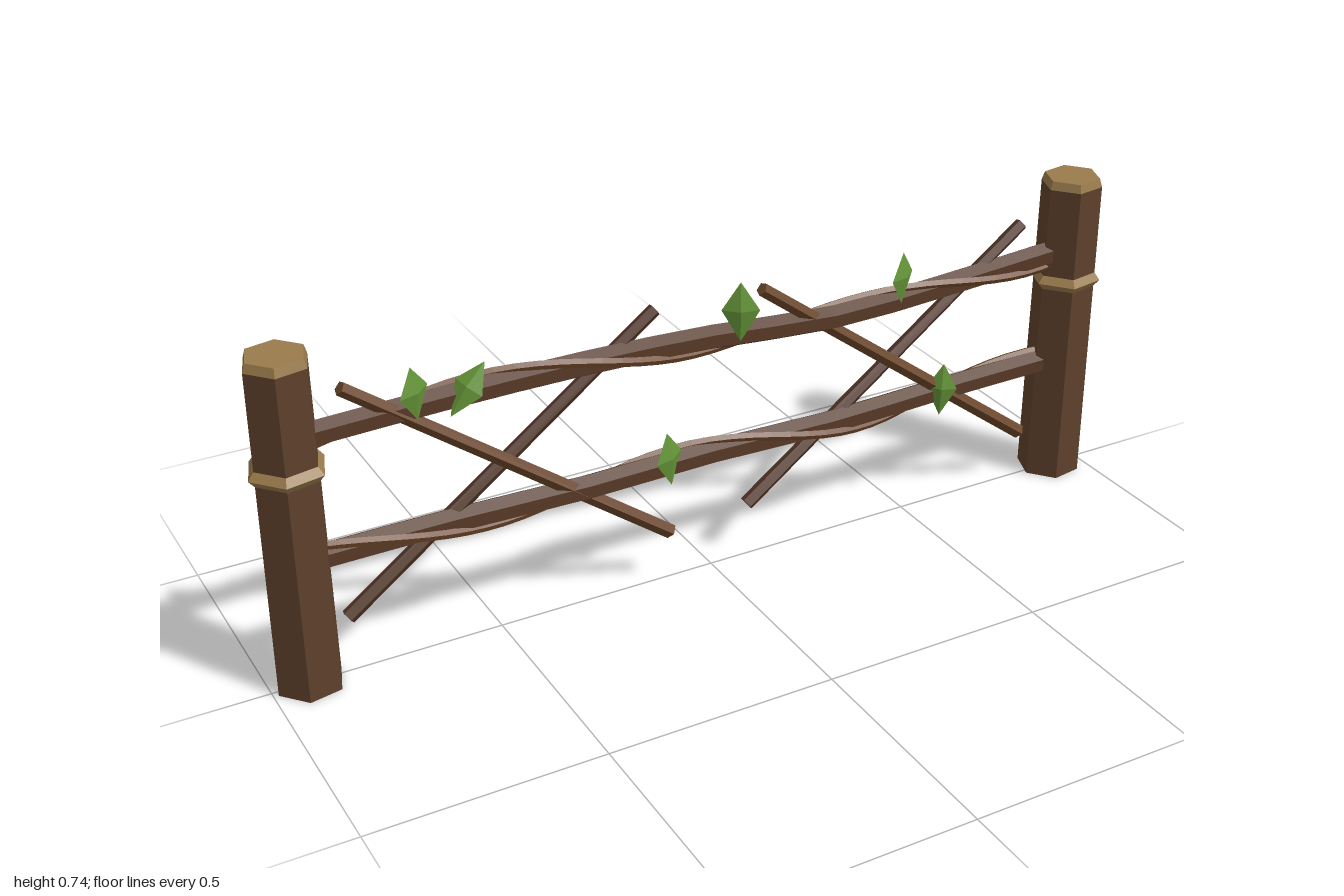
import * as THREE from 'three';

const mat = (name, color, side = THREE.FrontSide) => {
  const m = new THREE.MeshStandardMaterial({ color, side });
  m.name = name;
  return m;
};

// Faceted copy of a geometry: one normal per face
function faceted(geometry) {
  const g = geometry.index ? geometry.toNonIndexed() : geometry;
  g.computeVertexNormals();
  return g;
}

function add(parent, name, geometry, material) {
  const mesh = new THREE.Mesh(faceted(geometry), material);
  mesh.name = name;
  parent.add(mesh);
  return mesh;
}

// Six-sided frustum standing between two heights
function hexPrism(rTop, rBottom, y0, y1, turn, open = false) {
  const g = new THREE.CylinderGeometry(rTop, rBottom, y1 - y0, 6, 1, open, turn);
  return g.translate(0, (y0 + y1) / 2, 0);
}

// Diamond leaf folded around a raised centre
function leafGeometry(w, h, flip) {
  const rim = [[0, h], [-w, 0.004], [0, -h], [w, 0.004]];
  const pos = [];
  rim.forEach(([x, y], i) => {
    const [x2, y2] = rim[(i + 1) % 4];
    const centre = [0, 0.004, flip ? -0.006 : 0.012];
    const a = [x, y, 0], b = [x2, y2, 0];
    pos.push(...centre, ...(flip ? b : a), ...(flip ? a : b));
  });
  const g = new THREE.BufferGeometry();
  g.setAttribute('position', new THREE.Float32BufferAttribute(pos, 3));
  return g;
}

export function createModel() {
  const bark = mat('bark', 0x5f412c);
  const railWood = mat('rail wood', 0x583926);
  const vineWood = mat('vine wood', 0x6f4729);
  const lightStick = mat('light stick', 0x6c472b);
  const darkStick = mat('dark stick', 0x563827);
  const cutWood = mat('cut wood', 0x9a7b4c);
  const leafTop = mat('leaf green', 0x659638);
  const leafUnder = mat('leaf underside', 0x2f632b);

  const fence = new THREE.Group();
  fence.name = 'fence';

  // Posts with a bevelled cut end and a binding ring
  for (const [x, turn, name] of [[-0.919, 0.72, 'rightPost'], [0.919, 0.69, 'leftPost']]) {
    const post = new THREE.Group();
    post.name = name;
    post.position.x = x;
    add(post, 'trunk', hexPrism(0.068, 0.072, 0, 0.716, turn), bark);
    add(post, 'cutEnd', hexPrism(0.062, 0.068, 0.716, 0.735, turn), cutWood);
    add(post, 'ringLower', hexPrism(0.082, 0.069, 0.477, 0.493, turn, true), cutWood);
    add(post, 'ringUpper', hexPrism(0.069, 0.082, 0.493, 0.51, turn, true), cutWood);
    fence.add(post);
  }

  // Crooked rails, each wound by a thin vine
  const span = 0.88;
  const rails = [
    ['upper', [0.553, 0.558, 0.563, 0.55, 0.53, 0.537, 0.56], 0.45],
    ['lower', [0.283, 0.28, 0.277, 0.278, 0.275, 0.28, 0.288], 0],
  ];
  for (const [name, heights, shift] of rails) {
    const curve = new THREE.CatmullRomCurve3(heights.map((y, i) =>
      new THREE.Vector3(-span + (2 * span * i) / 6, y, i % 2 ? -0.004 : 0.002)));
    add(fence, name + 'Rail', new THREE.TubeGeometry(curve, 12, 0.028, 6), railWood);

    const winding = [];
    for (let i = 0; i <= 32; i++) {
      const p = curve.getPoint(i / 32);
      const a = (Math.PI * 2 * (p.x + shift)) / 0.9;
      winding.push(new THREE.Vector3(p.x, p.y + 0.028 * Math.cos(a), p.z + 0.028 * Math.sin(a)));
    }
    add(fence, name + 'Vine',
      new THREE.TubeGeometry(new THREE.CatmullRomCurve3(winding), 40, 0.01, 5), vineWood);
  }

  // Crossed brace sticks
  const up = new THREE.Vector3(0, 1, 0);
  function stick(name, x0, y0, x1, y1, z, material) {
    const a = new THREE.Vector3(x0, y0, z), b = new THREE.Vector3(x1, y1, z);
    const dir = b.clone().sub(a);
    const mesh = add(fence, name, new THREE.CylinderGeometry(0.015, 0.017, dir.length(), 5), material);
    mesh.position.copy(a).lerp(b, 0.5);
    mesh.quaternion.setFromUnitVectors(up, dir.normalize());
  }
  for (const x of [-0.465, 0.455]) {
    stick('fallingBrace', x + 0.36, 0.12, x - 0.34, 0.64, 0.01, lightStick);
    stick('risingBrace', x - 0.36, 0.12, x + 0.34, 0.64, -0.01, darkStick);
  }

  // Leaves: x, y, half width, half height, yaw, roll
  const leaves = [
    [-0.665, 0.6, 0.039, 0.058, 0.45, 0.08],
    [-0.555, 0.583, 0.034, 0.064, -0.95, -0.65],
    [0.055, 0.608, 0.04, 0.067, -0.5, 0],
    [0.455, 0.597, 0.041, 0.06, 0.45, 0],
    [-0.115, 0.307, 0.04, 0.063, 0.4, 0.08],
    [0.575, 0.298, 0.034, 0.063, -0.6, -0.05],
  ];
  for (const [x, y, w, h, yaw, roll] of leaves) {
    const leaf = new THREE.Group();
    leaf.name = 'leaf';
    leaf.position.set(x, y, 0.028);
    leaf.rotation.set(0, yaw, roll, 'ZYX');
    add(leaf, 'leafFront', leafGeometry(w, h, false), leafTop);
    add(leaf, 'leafBack', leafGeometry(w, h, true), leafUnder);
    fence.add(leaf);
  }

  return fence;
}
